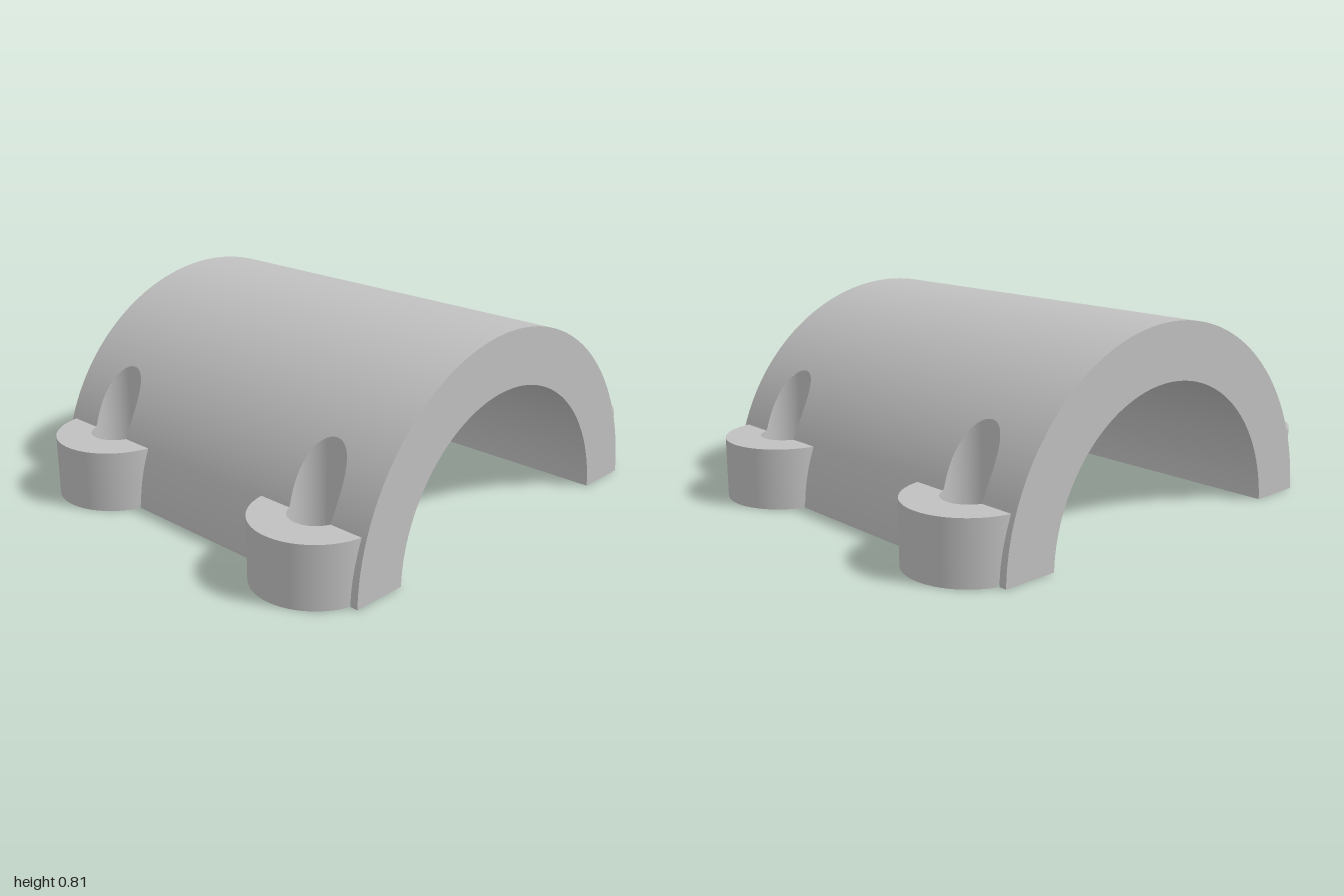
import * as THREE from 'three';

const L = 0.85;                      // half length of the saddle
const D = 0.018;                     // arch axis lies this far below the base
const RO = 0.829, RI = 0.602;        // outer and inner arch radii
const CX = 0.58, CZ = 0.75;          // bolt hole centres
const RH = 0.107, RB = 0.25;         // hole and boss radii
const TOP = 0.25;                    // boss height

const height = z => Math.max(0, Math.sqrt(Math.max(0, RO * RO - z * z)) - D);
const depth = (y, r) => Math.sqrt(r * r - (y + D) ** 2);
const halfWidth = (z, r) => Math.sqrt(Math.max(0, r * r - (z - CZ) ** 2));
const Z_TOP = depth(TOP, RO), Z_OUT = depth(0, RO), Z_IN = depth(0, RI);

// Grid surface with exact normals; triangles are turned to agree with them
function surface(nu, nv, point, normal) {
  const pos = [], nor = [], idx = [], p = [], n = [];
  for (let j = 0; j <= nv; j++) for (let i = 0; i <= nu; i++) {
    const q = point(i, j), m = normal(q).normalize();
    p.push(q); n.push(m);
    pos.push(q.x, q.y, q.z); nor.push(m.x, m.y, m.z);
  }
  const tri = (a, b, c) => {
    const f = p[b].clone().sub(p[a]).cross(p[c].clone().sub(p[a]));
    if (f.length() < 1e-10) return;
    if (f.dot(n[a].clone().add(n[b]).add(n[c])) > 0) idx.push(a, b, c);
    else idx.push(a, c, b);
  };
  for (let j = 0; j < nv; j++) for (let i = 0; i < nu; i++) {
    const a = j * (nu + 1) + i, c = a + nu + 1;
    tri(a, a + 1, c); tri(a + 1, c + 1, c);
  }
  const g = new THREE.BufferGeometry();
  g.setAttribute('position', new THREE.Float32BufferAttribute(pos, 3));
  g.setAttribute('normal', new THREE.Float32BufferAttribute(nor, 3));
  g.setIndex(idx);
  return g;
}

// Upright round wall between two height rules
function wall(cx, r, a0, a1, bottom, top, sign) {
  const n = 64;
  return surface(n, 1, (i, j) => {
    const a = a0 + (a1 - a0) * i / n, z = CZ + r * Math.sin(a);
    return new THREE.Vector3(cx + r * Math.cos(a), j ? top(z) : bottom(z), z);
  }, q => new THREE.Vector3((q.x - cx) * sign, 0, (q.z - CZ) * sign));
}

function buildHalf(material) {
  const half = new THREE.Group();
  const add = (name, g) => {
    const m = new THREE.Mesh(g, material);
    m.name = name;
    half.add(m);
  };
  const radial = s => q => new THREE.Vector3(0, (q.y + D) * s, q.z * s);

  // Rows from the crown to the base, with the gap each row leaves at a boss
  const rows = [], zh = CZ - RH, ah = Math.asin(zh / RO);
  for (let i = 0; i < 32; i++) rows.push([RO * Math.sin(ah * i / 32), 0]);
  const tEnd = Math.acos((CZ - Z_TOP) / RH);
  for (let i = 0; i <= 20; i++) {
    const z = CZ - RH * Math.cos(tEnd * i / 20);
    rows.push([z, halfWidth(z, RH)]);
  }
  for (let i = 0; i <= 10; i++) {
    const z = depth(TOP * (1 - i / 10), RO);
    rows.push([z, halfWidth(z, RB)]);
  }
  const spans = [
    [() => -L, w => -CX - w],
    [w => -CX + w, w => CX - w],
    [w => CX + w, () => L],
  ];
  for (const span of spans) {
    add('archOuter', surface(1, rows.length - 1, (i, j) => {
      const [z, w] = rows[j];
      return new THREE.Vector3(span[i](w), height(z), z);
    }, radial(1)));
  }

  // Bore
  const aIn = Math.acos(D / RI);
  add('archBore', surface(1, 48, (i, j) => {
    const a = aIn * j / 48;
    return new THREE.Vector3(i ? L : -L, RI * Math.cos(a) - D, RI * Math.sin(a));
  }, radial(-1)));

  // End face
  const ao = Math.asin(D / RO), ai = Math.asin(D / RI);
  const ring = new THREE.Shape();
  ring.absarc(0, -D, RO, ao, Math.PI - ao, false);
  ring.absarc(0, -D, RI, Math.PI - ai, ai, true);
  add('archEnd', new THREE.ShapeGeometry(ring, 96).rotateY(Math.PI / 2).translate(L, 0, 0));

  // Base face with boss outlines and bolt holes
  const ab = Math.asin((Z_OUT - CZ) / RB);
  const base = new THREE.Shape();
  base.moveTo(-L, Z_IN);
  base.lineTo(L, Z_IN);
  base.lineTo(L, Z_OUT);
  for (const cx of [CX, -CX]) {
    base.absarc(cx, CZ, RB, ab, Math.PI - ab, false);
    base.holes.push(new THREE.Path().absarc(cx, CZ, RH, 0, Math.PI * 2, true));
  }
  base.lineTo(-L, Z_OUT);
  add('baseFace', new THREE.ShapeGeometry(base, 64).rotateX(Math.PI / 2));

  // Bosses and bolt holes
  const a = Math.asin((Z_TOP - CZ) / RB), b = Math.asin((Z_TOP - CZ) / RH);
  for (const cx of [CX, -CX]) {
    add('bossWall', wall(cx, RB, a, Math.PI - a, height, () => TOP, 1));
    add('boltHole', wall(cx, RH, 0, Math.PI * 2, () => 0, z => Math.max(TOP, height(z)), -1));
    const cap = new THREE.Shape();
    cap.absarc(cx, -CZ, RB, -a, a - Math.PI, true);
    cap.absarc(cx, -CZ, RH, b - Math.PI, -b, false);
    add('bossTop', new THREE.ShapeGeometry(cap, 48).rotateX(-Math.PI / 2).translate(0, TOP, 0));
  }
  return half;
}

export function createModel() {
  const model = new THREE.Group();
  model.name = 'pipeSaddleClamp';
  const grey = new THREE.MeshStandardMaterial({ color: 0xc0c0c0 });
  grey.name = 'lightGrey';
  const front = buildHalf(grey);
  front.name = 'frontHalf';
  const back = buildHalf(grey);
  back.name = 'backHalf';
  back.rotation.y = Math.PI;
  model.add(front, back);
  return model;
}
